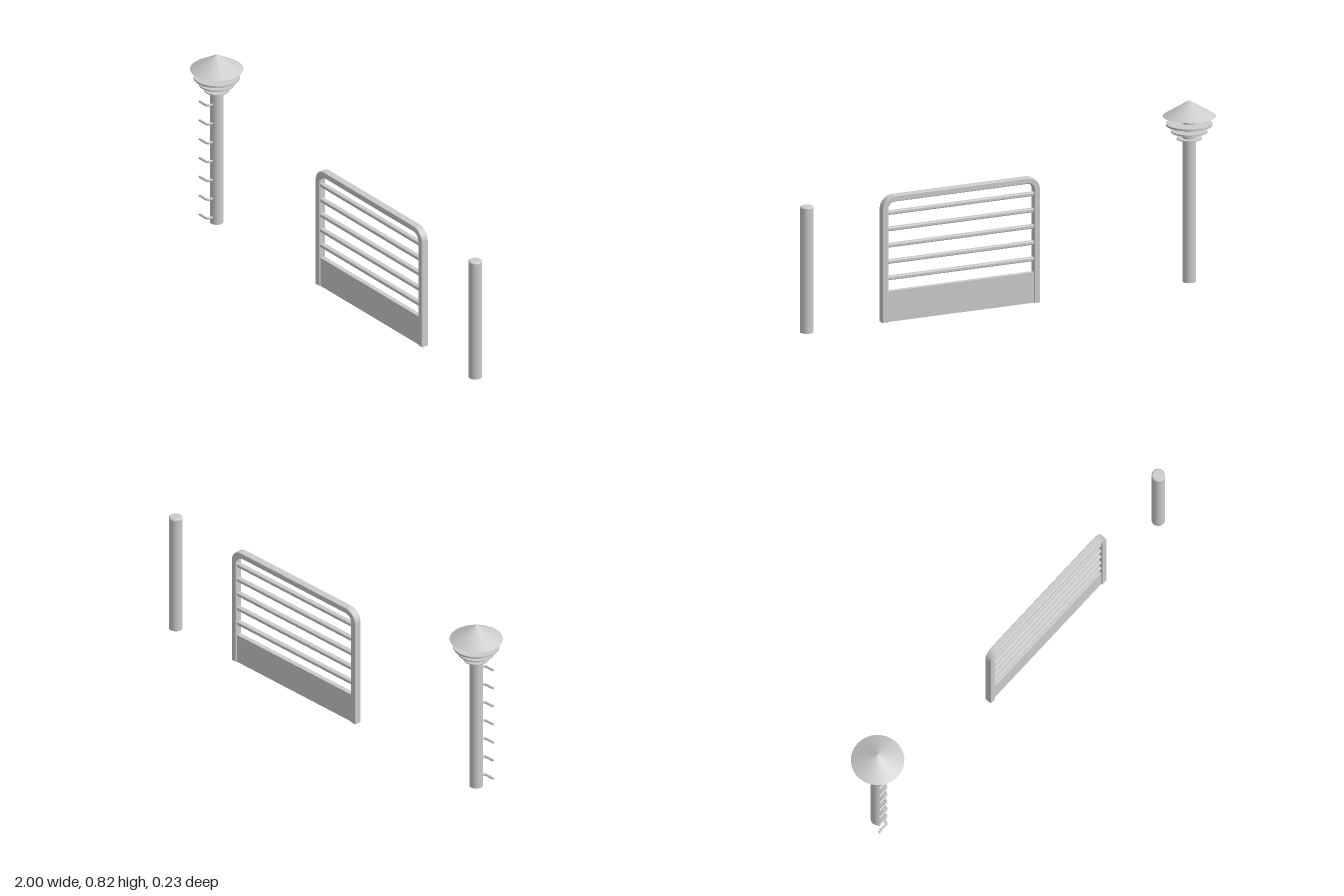
import * as THREE from 'three';
import { RoundedBoxGeometry } from 'three/addons/geometries/RoundedBoxGeometry.js';

const material = new THREE.MeshStandardMaterial({ color: 0xcccccc });

function add(parent, name, geometry, x = 0, y = 0, z = 0) {
  const mesh = new THREE.Mesh(geometry, material);
  mesh.name = name;
  mesh.position.set(x, y, z);
  parent.add(mesh);
  return mesh;
}

function group(parent, name, x) {
  const g = new THREE.Group();
  g.name = name;
  g.position.x = x;
  parent.add(g);
  return g;
}

// Upside-down U outline with rounded top corners
function archOutline(shape, halfWidth, top, radius) {
  shape.lineTo(-halfWidth, top - radius);
  shape.absarc(-halfWidth + radius, top - radius, radius, Math.PI, Math.PI / 2, true);
  shape.lineTo(halfWidth - radius, top);
  shape.absarc(halfWidth - radius, top - radius, radius, Math.PI / 2, 0, true);
  shape.lineTo(halfWidth, 0);
}

function buildLampPost(root) {
  const lamp = group(root, 'lampPost', -0.883);
  const r = 0.03;
  add(lamp, 'pole', new THREE.CylinderGeometry(r, r, 0.755, 32, 1, true), 0, 0.3775);
  add(lamp, 'roof', new THREE.ConeGeometry(0.117, 0.072, 32), 0, 0.787);

  // Louvre discs shrink and thin out downwards
  for (const [y, radius, thickness] of [[0.714, 0.102, 0.009], [0.682, 0.08, 0.007], [0.65, 0.056, 0.005]]) {
    add(lamp, 'louvreDisc', new THREE.CylinderGeometry(radius, radius, thickness, 32), 0, y);
  }

  // Hooked pegs: out from the pole, then sideways
  const path = new THREE.CurvePath();
  const a = new THREE.Vector3(0.005, 0, 0.02);
  const b = new THREE.Vector3(0.005, 0, 0.038);
  const corner = new THREE.Vector3(0.005, 0, 0.054);
  const c = new THREE.Vector3(-0.011, 0, 0.054);
  const end = new THREE.Vector3(-0.052, 0, 0.054);
  path.add(new THREE.LineCurve3(a, b));
  path.add(new THREE.QuadraticBezierCurve3(b, corner, c));
  path.add(new THREE.LineCurve3(c, end));
  const hook = new THREE.TubeGeometry(path, 24, 0.0055, 10, false);
  const cap = new THREE.CircleGeometry(0.0055, 10);
  cap.rotateY(-Math.PI / 2);
  for (let i = 0; i < 7; i++) {
    const y = 0.033 + i * 0.0925;
    add(lamp, 'peg', hook, 0, y);
    add(lamp, 'pegEnd', cap, end.x, y, end.z);
  }
}

function buildBarrier(root) {
  const barrier = group(root, 'barrier', 0.228);
  const half = 0.382, bar = 0.028, top = 0.572, depth = 0.035, bevel = 0.004;

  // Bent frame
  const shape = new THREE.Shape();
  shape.moveTo(-half, 0);
  archOutline(shape, half, top, 0.06);
  const inner = half - bar, innerTop = top - bar, ir = 0.032;
  shape.lineTo(inner, 0);
  shape.lineTo(inner, innerTop - ir);
  shape.absarc(inner - ir, innerTop - ir, ir, 0, Math.PI / 2, false);
  shape.lineTo(-inner + ir, innerTop);
  shape.absarc(-inner + ir, innerTop - ir, ir, Math.PI / 2, Math.PI, false);
  shape.lineTo(-inner, 0);
  const frame = new THREE.ExtrudeGeometry(shape, {
    depth: depth - 2 * bevel, curveSegments: 12,
    bevelThickness: bevel, bevelSize: bevel, bevelOffset: -bevel, bevelSegments: 3,
  });
  add(barrier, 'frame', frame, 0, 0, -depth / 2 + bevel);

  // Horizontal rails
  for (let i = 0; i < 5; i++) {
    add(barrier, 'rail', new RoundedBoxGeometry(2 * inner + 0.02, 0.017, 0.024, 3, 0.005), 0, 0.197 + i * 0.074);
  }
  // Solid lower panel
  add(barrier, 'panel', new THREE.BoxGeometry(2 * inner + 0.01, 0.138, 0.022), 0, 0.069);
}

function buildBollard(root) {
  const bollard = group(root, 'bollard', 0.97);
  add(bollard, 'shaft', new THREE.CylinderGeometry(0.03, 0.03, 0.567, 32, 1, true), 0, 0.2835);
  add(bollard, 'bevelledTop', new THREE.CylinderGeometry(0.025, 0.03, 0.005, 32), 0, 0.5695);
}

export function createModel() {
  const root = new THREE.Group();
  root.name = 'streetFurniture';
  buildLampPost(root);
  buildBarrier(root);
  buildBollard(root);
  return root;
}
